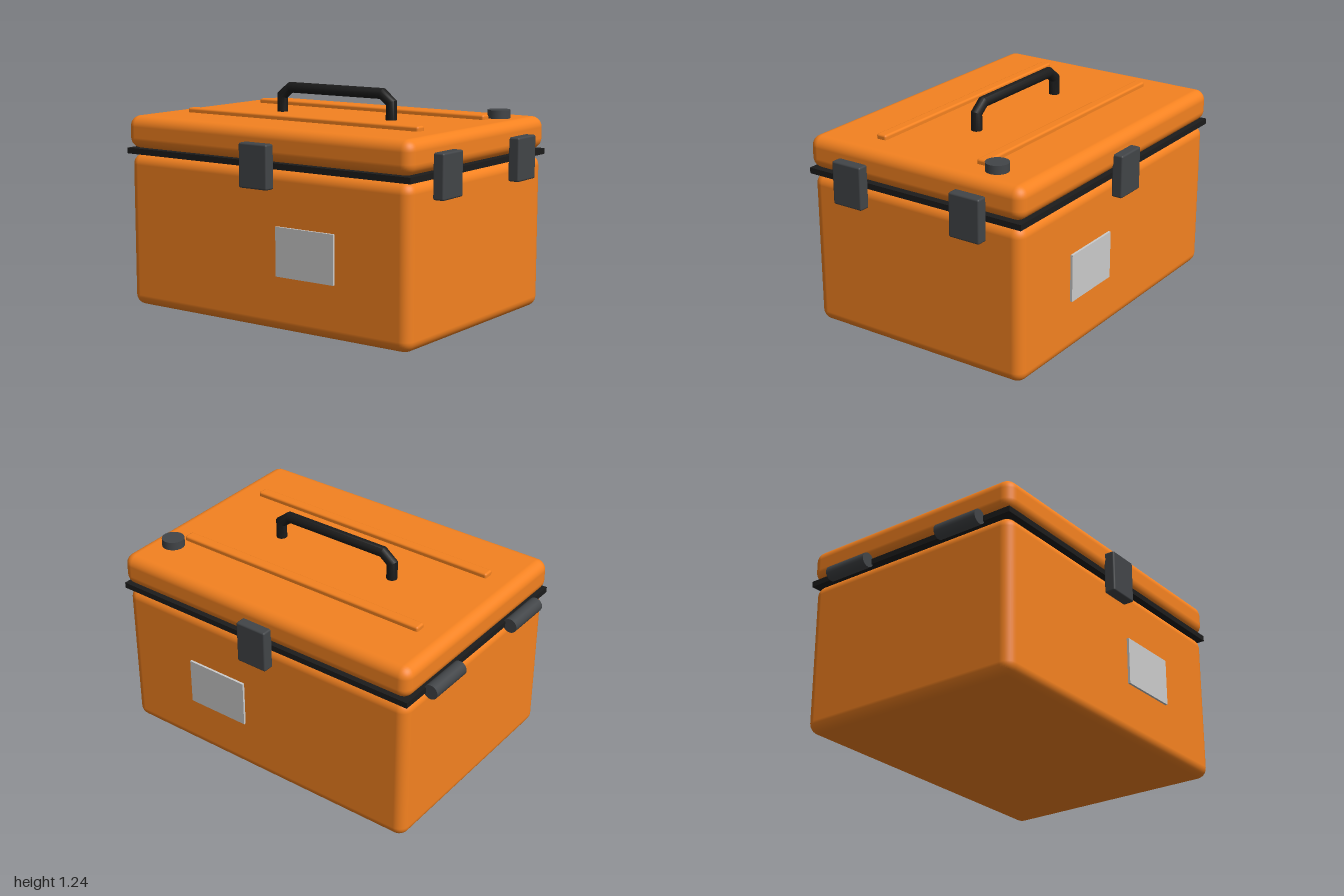
import * as THREE from 'three';
import { RoundedBoxGeometry } from 'three/addons/geometries/RoundedBoxGeometry.js';
import { toCreasedNormals } from 'three/addons/utils/BufferGeometryUtils.js';

const paint = (color) => new THREE.MeshStandardMaterial({ color });

// Sweeps a round section along a flat (x, y) polyline with mitred corners
function mitredTube(points, radius, sides) {
  const pos = [], index = [], n = points.length;
  points.forEach((p, i) => {
    const a = points[Math.max(i - 1, 0)], b = points[Math.min(i + 1, n - 1)];
    const into = (i > 0 ? p.clone().sub(a) : b.clone().sub(p)).normalize();
    const out = (i < n - 1 ? b.clone().sub(p) : into.clone()).normalize();
    const mid = into.clone().add(out).normalize();
    const stretch = radius / mid.dot(into);
    for (let j = 0; j < sides; j++) {
      const t = (j / sides) * Math.PI * 2;
      const s = Math.cos(t) * stretch;
      pos.push(p.x - mid.y * s, p.y + mid.x * s, Math.sin(t) * radius);
    }
  });
  for (let i = 0; i < n - 1; i++) {
    for (let j = 0; j < sides; j++) {
      const k = (j + 1) % sides;
      const a = i * sides + j, b = i * sides + k, c = a + sides, d = b + sides;
      index.push(a, b, c, b, d, c);
    }
  }
  const g = new THREE.BufferGeometry();
  g.setAttribute('position', new THREE.Float32BufferAttribute(pos, 3));
  g.setIndex(index);
  return toCreasedNormals(g, 0.7);
}

export function createModel() {
  const group = new THREE.Group();
  const orange = paint(0xf58220);
  const dark = paint(0x424548);
  const black = paint(0x1c1c1c);
  const grey = paint(0xcccccc);
  black.side = THREE.DoubleSide;

  const add = (name, geometry, material, x, y, z) => {
    const mesh = new THREE.Mesh(geometry, material);
    mesh.name = name;
    mesh.position.set(x, y, z);
    group.add(mesh);
    return mesh;
  };
  const rounded = (w, h, d, r, seg = 2) => new RoundedBoxGeometry(w, h, d, seg, r);
  const cx = 0.003;

  // Case shell, seal and lid
  add('body', rounded(1.855, 0.855, 1.33, 0.06, 4), orange, cx, 0.4275, 0);
  add('gasket', new THREE.BoxGeometry(1.87, 0.032, 1.342), black, cx, 0.871, 0);
  add('lid', rounded(1.874, 0.18, 1.35, 0.06, 4), orange, cx, 0.976, 0);

  for (const s of [1, -1]) {
    // Raised ribs on the lid
    add('lidRib', rounded(1.54, 0.05, 0.062, 0.012), orange, 0.001, 1.067, s * 0.32);
    // Latches, front and back
    add('latch', rounded(0.185, 0.237, 0.064, 0.01), dark, cx, 0.868, s * 0.697);
    // Latches on the left side
    add('sideLatch', rounded(0.064, 0.237, 0.185, 0.01), dark, 0.965, 0.868, s * 0.372);
    // Hinge barrels on the opposite side
    const hinge = new THREE.CylinderGeometry(0.041, 0.041, 0.265, 20).rotateX(Math.PI / 2);
    add('hinge', hinge, dark, -0.959, 0.87, s * 0.373);
    // Label plates, front and back
    add('labelPlate', new THREE.BoxGeometry(0.37, 0.263, 0.018), grey, 0.297, 0.427, s * 0.669);
  }

  // Pressure valve
  add('valve', new THREE.CylinderGeometry(0.062, 0.062, 0.06, 24), dark, 0.787, 1.082, -0.428);

  // Carry handle
  const half = [[0.37, 1.05], [0.37, 1.158], [0.31, 1.205]];
  const path = [...half.map(([x, y]) => [-x, y]), ...half.slice().reverse()]
    .map(([x, y]) => new THREE.Vector2(x, y));
  add('handle', mitredTube(path, 0.03, 12), black, 0.002, 0, 0);

  return group;
}
